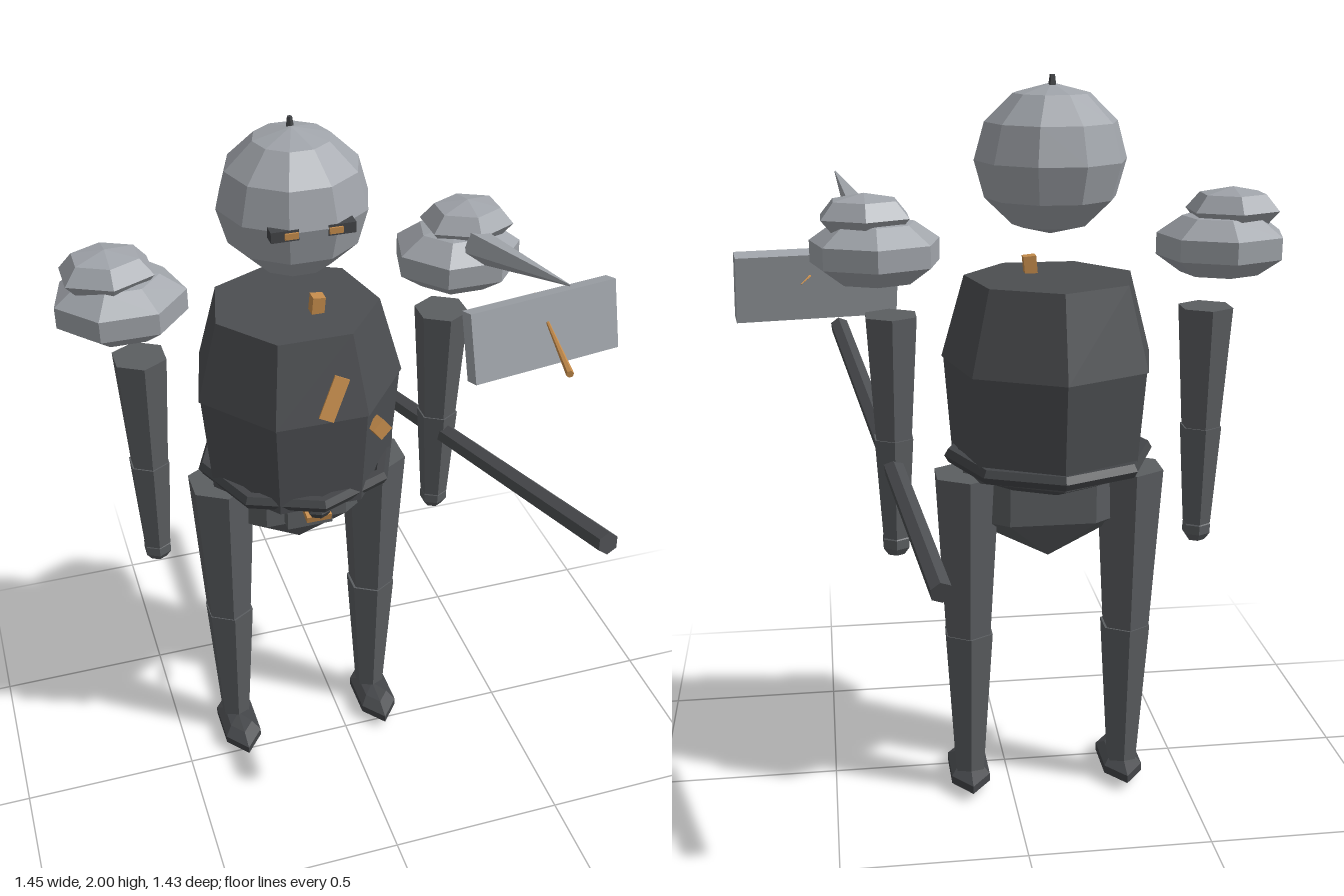
import * as THREE from 'three';

const CX = -0.105, CZ = -0.124; // body axis

export function createModel() {
  const root = new THREE.Group();
  const mat = (name, color) => {
    const m = new THREE.MeshStandardMaterial({ color, flatShading: true });
    m.name = name;
    return m;
  };
  const steel = mat('lightSteel', 0xa0a4aa);
  const iron = mat('darkIron', 0x4c4e51);
  const limb = mat('limbGrey', 0x5b5e61);
  const black = mat('blackIron', 0x434548);
  const brass = mat('brass', 0xc58c4c);

  const add = (name, geo, material, x, y, z) => {
    const m = new THREE.Mesh(geo, material);
    m.name = name;
    m.position.set(x, y, z);
    root.add(m);
    return m;
  };
  // Faceted ellipsoid; turn rotates its corners about y before scaling
  const ball = (name, material, x, y, z, rx, ry, rz, seg, rows, turn = -Math.PI / 2) =>
    add(name, new THREE.SphereGeometry(1, seg, rows).rotateY(turn).scale(rx, ry, rz), material, x, y, z);
  // Tapered upright prism from y0 to y1
  const taper = (name, material, x, z, y0, y1, r0, r1, seg, turn = 0) =>
    add(name, new THREE.CylinderGeometry(r1, r0, y1 - y0, seg).rotateY(turn), material, x, (y0 + y1) / 2, z);
  const box = (name, material, x, y, z, w, h, d, rx = 0, ry = 0, rz = 0) => {
    const m = add(name, new THREE.BoxGeometry(w, h, d), material, x, y, z);
    m.rotation.set(rx, ry, rz, 'YXZ');
    return m;
  };
  // Straight rod or spike between two points
  const rod = (name, material, a, b, ra, rb, seg) => {
    const p = new THREE.Vector3(...a), q = new THREE.Vector3(...b);
    const dir = q.clone().sub(p), mid = p.clone().add(q).multiplyScalar(0.5);
    const m = add(name, new THREE.CylinderGeometry(rb, ra, dir.length(), seg), material, mid.x, mid.y, mid.z);
    m.quaternion.setFromUnitVectors(new THREE.Vector3(0, 1, 0), dir.normalize());
    return m;
  };

  // Head with a small tip
  ball('head', steel, CX, 1.79, -0.108, 0.198, 0.19, 0.198, 10, 6, 0);
  taper('headTip', black, CX, -0.122, 1.965, 2.0, 0.012, 0.007, 5);

  // Torso: two seven-sided sections, a corner pointing back
  taper('upperTorso', iron, CX, CZ, 1.27, 1.49, 0.29, 0.228, 7, Math.PI);
  taper('lowerTorso', iron, CX, CZ, 0.985, 1.27, 0.262, 0.285, 7, Math.PI);
  taper('torsoUnderside', iron, CX, CZ, 0.935, 0.99, 0.14, 0.258, 7, Math.PI);
  add('belt', new THREE.TorusGeometry(0.262, 0.022, 6, 8).rotateX(Math.PI / 2), black, CX, 1.012, CZ);

  // Pelvis and its front plate
  ball('pelvis', limb, CX, 0.95, CZ, 0.27, 0.24, 0.115, 6, 3, 0);
  box('pelvisPlate', limb, CX, 0.873, -0.025, 0.13, 0.07, 0.05);

  // Buckle
  box('buckle', brass, CX, 0.943, 0.04, 0.07, 0.02, 0.11, 0.2);
  ball('buckleKnob', black, CX, 0.962, 0.09, 0.036, 0.024, 0.03, 6, 4);

  // Brass scraps on chest and neck
  box('chestStrip', brass, -0.07, 1.33, 0.115, 0.042, 0.12, 0.025, -0.24, 0, -0.45);
  box('sideScrap', brass, 0.06, 1.207, 0.105, 0.042, 0.048, 0.03, 0, 0.3, 0.65);
  box('neckPeg', brass, -0.06, 1.505, -0.06, 0.034, 0.06, 0.034, 0, 0, -0.1);

  for (const s of [-1, 1]) {
    const side = s < 0 ? 'right' : 'left';

    // Eyes: dark housing with brass on the inner half
    box(side + 'EyeHousing', black, CX + s * 0.072, 1.785, 0.06, 0.07, 0.028, 0.04);
    box(side + 'Eye', brass, CX + s * 0.056, 1.785, 0.081, 0.034, 0.016, 0.008);

    // Stacked shoulder pads
    ball(side + 'ShoulderPad', steel, CX + s * 0.453, 1.565, CZ, 0.18, 0.092, 0.166, 7, 5);
    ball(side + 'ShoulderCap', steel, CX + s * 0.478, 1.655, CZ, 0.128, 0.06, 0.11, 6, 4);

    // Arm
    const ax = CX + s * 0.418;
    taper(side + 'UpperArm', limb, ax, CZ, 1.06, 1.4, 0.053, 0.075, 6);
    taper(side + 'Forearm', limb, ax, CZ, 0.79, 1.07, 0.039, 0.058, 6);
    ball(side + 'Hand', limb, ax, 0.772, CZ, 0.042, 0.042, 0.038, 6, 5);

    // Leg and foot
    const lx = CX + s * 0.222;
    taper(side + 'Thigh', limb, CX + s * 0.224, CZ, 0.49, 0.96, 0.068, 0.096, 6);
    taper(side + 'Shin', limb, lx, CZ, 0.05, 0.495, 0.043, 0.073, 6);
    ball(side + 'Foot', black, lx, 0.042, -0.088, 0.066, 0.037, 0.139, 6, 5);
  }

  // Spike on the left shoulder
  rod('shoulderSpike', steel, [0.37, 1.625, -0.03], [0.436, 1.708, 0.378], 0.045, 0.002, 5);

  // Slab and the brass needle through it
  box('slab', steel, 0.5, 1.438, 0.123, 0.44, 0.19, 0.045, -0.25, 0.15, 0);
  rod('needle', brass, [0.455, 1.465, 0.388], [0.54, 1.465, 0.02 - 0.04], 0.01, 0.001, 6);

  // Long staff by the left hand
  rod('staff', iron, [0.24, 0.872, -0.712], [0.435, 1.183, 0.708], 0.029, 0.029, 6);

  return root;
}
